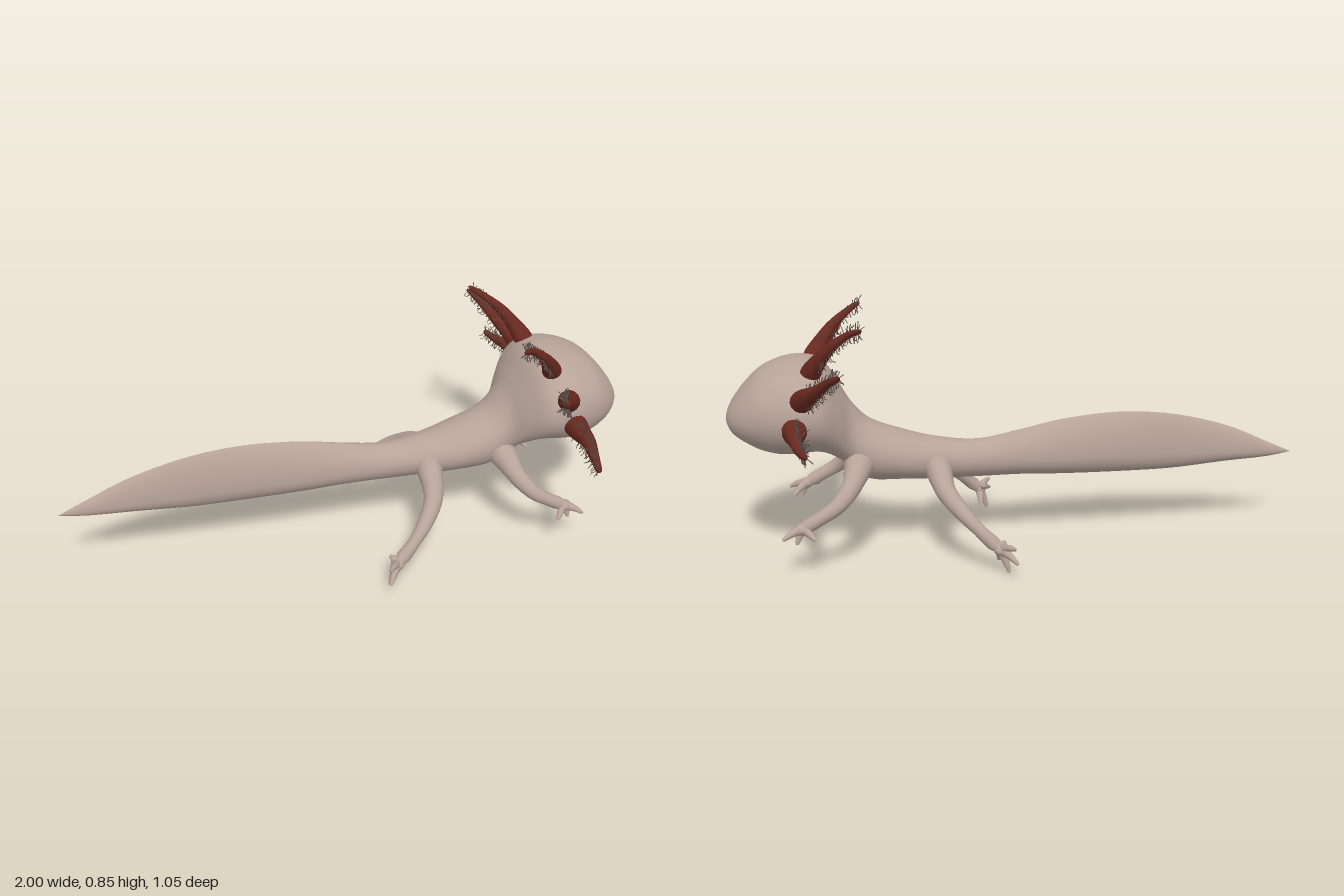
import * as THREE from 'three';
import { mergeGeometries } from 'three/addons/utils/BufferGeometryUtils.js';

const V = (x, y, z) => new THREE.Vector3(x, y, z);

// small seeded random
function seeded(seed) {
  return () => {
    seed = (seed * 16807) % 2147483647;
    return seed / 2147483647;
  };
}

// body stations along x: [x, top, bottom, half width, height of widest line, fin pinch]
const STATIONS = [
  [-1, .28, .28, 0, .28, .2], [-.9, .325, .265, .016, .288, .3],
  [-.75, .39, .255, .028, .295, .5], [-.55, .44, .238, .034, .3, .6],
  [-.35, .455, .235, .046, .305, .6], [-.15, .437, .237, .055, .305, .5],
  [0, .405, .243, .06, .308, .3], [.15, .377, .243, .066, .31, .1],
  [.3, .392, .245, .085, .32, 0], [.42, .425, .25, .108, .335, 0],
  [.52, .465, .255, .115, .36, 0], [.58, .525, .293, .122, .41, 0],
  [.62, .59, .33, .168, .475, 0], [.66, .655, .36, .216, .51, 0],
  [.7, .685, .376, .238, .52, -.05], [.76, .692, .376, .245, .525, -.1],
  [.82, .682, .376, .23, .52, -.1], [.88, .655, .39, .203, .515, -.1],
  [.93, .61, .415, .165, .505, -.1], [.97, .56, .44, .115, .5, -.1],
  [.99, .525, .465, .068, .495, 0], [1, .49, .49, 0, .49, 0],
];

// one smooth skin lofted from tail tip to snout
function bodyGeometry() {
  const spline = (k) => new THREE.CatmullRomCurve3(
    STATIONS.map((s) => V(s[k], s[k + 1], s[k + 2])), false, 'catmullrom', 0.5);
  const outline = spline(0), girth = spline(3);
  const rings = 126, sides = 40, pos = [], idx = [];
  for (let i = 0; i <= rings; i++) {
    const o = outline.getPoint(i / rings), g = girth.getPoint(i / rings);
    for (let j = 0; j < sides; j++) {
      const a = (j / sides) * Math.PI * 2, s = Math.sin(a), c = Math.cos(a);
      const pinch = g.z * (s > 0 ? 1 : g.z < 0 ? 2.5 : 0.4); // boxier jaw, blunter tail keel
      const y = g.y + s * (s > 0 ? o.y - g.y : g.y - o.z);
      pos.push(o.x, y, g.x * Math.sign(c) * Math.pow(Math.abs(c), 1 + pinch));
      if (i < rings) {
        const n = (j + 1) % sides, p = i * sides, q = p + sides;
        idx.push(p + j, q + j, p + n, q + j, q + n, p + n);
      }
    }
  }
  const geo = new THREE.BufferGeometry();
  geo.setAttribute('position', new THREE.Float32BufferAttribute(pos, 3));
  geo.setIndex(idx);
  geo.computeVertexNormals();
  return geo;
}

// tube along a curve whose radius follows a list and closes in a round tip
const radiusAt = (radii, t) => {
  const f = t * (radii.length - 1), i = Math.min(Math.floor(f), radii.length - 2);
  return THREE.MathUtils.lerp(radii[i], radii[i + 1], f - i);
};
function taperedTube(curve, radii, segments = 30, sides = 14) {
  const geo = new THREE.TubeGeometry(curve, segments, 1, sides);
  const pos = geo.attributes.position, nor = geo.attributes.normal;
  for (let i = 0; i <= segments; i++) {
    const t = i / segments, c = curve.getPointAt(t);
    const tip = t > 0.92 ? Math.sqrt(Math.max(0, 1 - ((t - 0.92) / 0.08) ** 2)) : 1;
    const r = radiusAt(radii, t) * tip;
    for (let j = 0; j <= sides; j++) {
      const k = i * (sides + 1) + j;
      pos.setXYZ(k, c.x + nor.getX(k) * r, c.y + nor.getY(k) * r, c.z + nor.getZ(k) * r);
    }
  }
  return geo;
}
const curveOf = (points, side) =>
  new THREE.CatmullRomCurve3(points.map(([x, y, z]) => V(x, y, z * side)));

// leg paths and toe tips for the +z side
const LEGS = {
  frontLeg: {
    path: [[.55, .35, .03], [.568, .322, .12], [.595, .277, .19], [.64, .232, .228], [.7, .195, .238], [.755, .165, .24]],
    radii: [.04, .05, .035, .028, .023, .024],
    toes: [[.82, .14, .275], [.775, .112, .245], [.8, .132, .194], [.71, .143, .295]],
  },
  hindLeg: {
    path: [[.3, .32, 0], [.292, .295, .1], [.275, .25, .19], [.23, .2, .25], [.17, .14, .29], [.11, .085, .313]],
    radii: [.035, .046, .035, .028, .021, .026],
    toes: [[.08, .001, .32], [.06, .06, .394], [.065, .105, .372], [.11, .03, .266], [.09, .1, .28]],
  },
};

// gill stalk paths and base radii for the +z side
const GILLS = [
  { path: [[.73, .62, .1], [.69, .69, .148], [.64, .755, .19], [.585, .8, .22], [.537, .825, .267]], r: .034 },
  { path: [[.75, .57, .18], [.72, .61, .26], [.68, .65, .33], [.645, .69, .39], [.61, .72, .457]], r: .038 },
  { path: [[.765, .5, .19], [.76, .5, .29], [.755, .505, .36], [.74, .495, .44], [.718, .495, .524]], r: .041 },
];

// fine hairs on the upper, lower and rear faces of a gill stalk
function filaments(curve, radii, rand) {
  const hairs = [], count = 68;
  for (let i = 0; i < count; i++) {
    const t = 0.3 + 0.68 * (i / count), c = curve.getPointAt(t), along = curve.getTangentAt(t);
    const back = V(-1, 0, 0).addScaledVector(along, along.x).normalize();
    const up = new THREE.Vector3().crossVectors(back, along).normalize();
    const a = (i % 2 ? 1 : -1) * (Math.PI / 2 - (i % 4 < 2 ? 0.25 : 1.1) * rand());
    const out = back.multiplyScalar(Math.cos(a)).addScaledVector(up, Math.sin(a));
    const r = radiusAt(radii, t), len = 0.013 + 0.013 * rand();
    const at = (d, s) => c.clone().addScaledVector(out, d).addScaledVector(along, s);
    const path = new THREE.CatmullRomCurve3([
      at(r * 0.8, 0), at(r + len * 0.6, (rand() - 0.5) * 0.006), at(r + len, (rand() - 0.4) * 0.018),
    ]);
    hairs.push(new THREE.TubeGeometry(path, 4, 0.0014, 4));
  }
  return mergeGeometries(hairs);
}

export function createModel() {
  const model = new THREE.Group();
  model.name = 'axolotl';
  const material = (name, color) => Object.assign(new THREE.MeshStandardMaterial({ color }), { name });
  const skin = material('skin', 0xb7a399);
  const gillRed = material('gill red', 0x6b2a20);
  const hairGrey = material('filament grey', 0x5c544f);
  const add = (parent, name, geo, mat) => {
    const mesh = new THREE.Mesh(geo, mat);
    mesh.name = name;
    parent.add(mesh);
    return mesh;
  };

  add(model, 'body', bodyGeometry(), skin);
  const rand = seeded(77);

  for (const side of [1, -1]) {
    const label = side > 0 ? 'Near' : 'Far';

    // legs with a palm and splayed toes
    for (const [name, leg] of Object.entries(LEGS)) {
      const group = new THREE.Group();
      group.name = name + label;
      model.add(group);
      add(group, 'limb', taperedTube(curveOf(leg.path, side), leg.radii), skin);
      const [x, y, z] = leg.path.at(-1);
      const palm = add(group, 'palm', new THREE.SphereGeometry(0.026, 16, 12), skin);
      palm.scale.set(0.9, 0.75, 1);
      palm.position.set(x, y, z * side);
      for (const tip of leg.toes) {
        const mid = [x, y, z].map((v, k) => v + (tip[k] - v) * 0.5 + (k === 1 ? 0.005 : 0));
        add(group, 'toe', taperedTube(curveOf([[x, y, z], mid, tip], side), [.019, .014, .01, .005], 14, 10), skin);
      }
    }

    // gill stalks with fringe
    for (const gill of GILLS) {
      const group = new THREE.Group();
      group.name = 'gill' + label;
      model.add(group);
      const curve = curveOf(gill.path, side);
      const radii = [1, .97, .7, .5, .35, .24].map((f) => f * gill.r);
      add(group, 'stalk', taperedTube(curve, radii), gillRed);
      add(group, 'fringe', filaments(curve, radii, rand), hairGrey);
    }

    // small lidded eye, sunk into the skin
    const eye = new THREE.Group();
    eye.name = 'eye' + label;
    eye.position.set(0.909, 0.595, 0.109 * side);
    eye.lookAt(0.909 + 0.7, 0.595 + 0.5, (0.109 + 0.45) * side);
    model.add(eye);
    add(eye, 'eyeball', new THREE.SphereGeometry(0.011, 16, 12), skin);
    add(eye, 'eyelid', new THREE.TorusGeometry(0.017, 0.005, 8, 20), skin);
  }
  return model;
}
